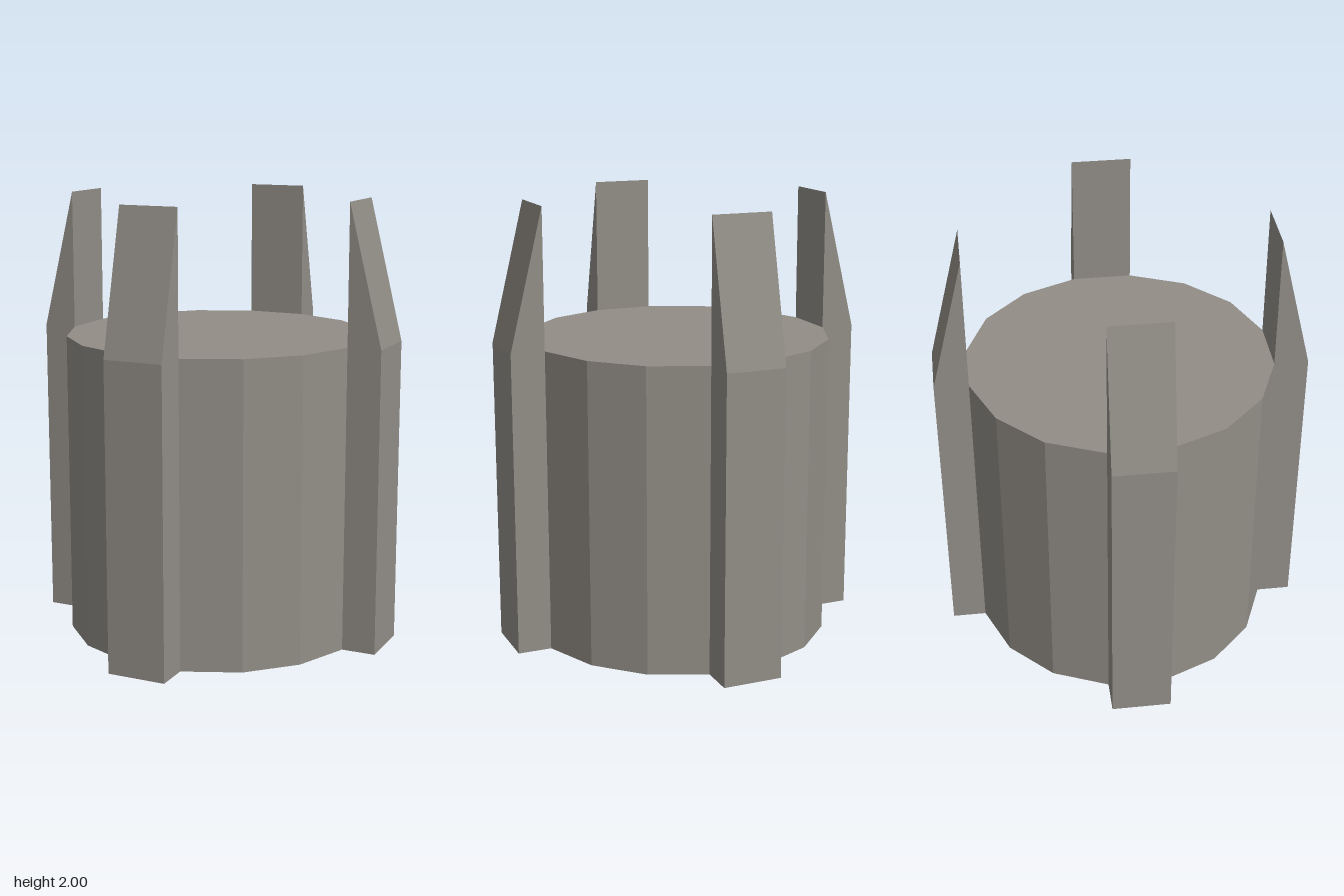
import * as THREE from 'three';

export function createModel() {
  const group = new THREE.Group();
  const stone = new THREE.MeshStandardMaterial({ color: 0x928e87, flatShading: true });
  stone.name = 'warm grey stone';

  const sides = 16, radius = 0.69, bodyHeight = 1.375;
  const inner = radius * Math.cos(Math.PI / sides); // flat of the drum
  const width = 2 * radius * Math.sin(Math.PI / sides); // one facet wide
  const outer = 0.83, tipHeight = 2;

  // Sixteen-sided drum with flats facing the four axes
  const drumGeometry = new THREE.CylinderGeometry(radius, radius, bodyHeight, sides, 1, false, Math.PI / sides);
  drumGeometry.translate(0, bodyHeight / 2, 0);
  const drum = new THREE.Mesh(drumGeometry, stone);
  drum.name = 'drum';
  group.add(drum);

  // Buttress profile: straight outside, then sloping in to a sharp tip
  const profile = new THREE.Shape([
    new THREE.Vector2(inner, 0),
    new THREE.Vector2(outer, 0),
    new THREE.Vector2(outer, bodyHeight),
    new THREE.Vector2(inner, tipHeight),
  ]);
  const buttressGeometry = new THREE.ExtrudeGeometry(profile, { depth: width, bevelEnabled: false });
  buttressGeometry.translate(0, 0, -width / 2);

  // One buttress on each side of the drum
  ['left', 'back', 'right', 'front'].forEach((side, i) => {
    const buttress = new THREE.Mesh(buttressGeometry, stone);
    buttress.name = side + 'Buttress';
    buttress.rotation.y = (i * Math.PI) / 2;
    group.add(buttress);
  });

  return group;
}
